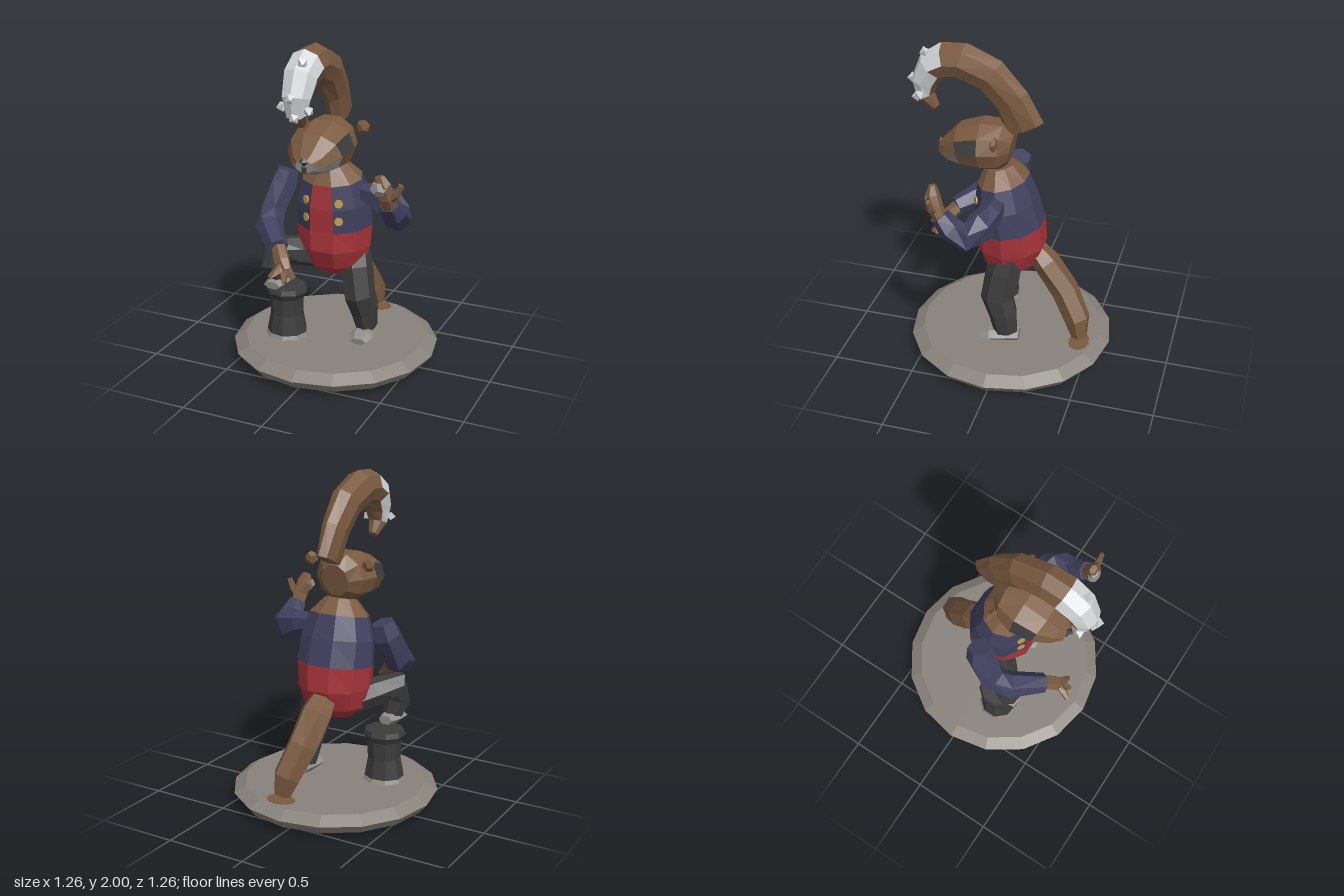
import * as THREE from 'three';

const mat = (name, color) => Object.assign(new THREE.MeshStandardMaterial({ color, flatShading: true }), { name });
const brown = mat('brown fur', 0x7a5a40);
const navy = mat('navy cloth', 0x40405f);
const red = mat('red cloth', 0xa8343a);
const charcoal = mat('charcoal', 0x3c3c3c);
const stone = mat('stone', 0x87827a);
const grey = mat('grey fur', 0x8e8c88);
const white = mat('white fur', 0xd3d6d8);
const gold = mat('gold', 0xc09a4c);

const X = new THREE.Vector3(1, 0, 0);
const Y = new THREE.Vector3(0, 1, 0);
const Z = new THREE.Vector3(0, 0, 1);

// Faceted skin over rings [x, y, z, radiusA, radiusB] along a path.
// pick(ring, side) chooses the material; the end cap counts as the last ring.
function loft(name, rings, { sides = 6, ref = Z, mats, pick = () => 0 }) {
  const centres = rings.map(r => new THREE.Vector3(r[0], r[1], r[2]));
  const last = rings.length - 1;
  const loops = rings.map((r, i) => {
    const t = centres[Math.min(i + 1, last)].clone().sub(centres[Math.max(i - 1, 0)]).normalize();
    const u = t.clone().cross(ref).normalize();
    const v = u.clone().cross(t);
    return Array.from({ length: sides }, (_, j) => {
      const a = j / sides * Math.PI * 2;
      return centres[i].clone().addScaledVector(u, r[3] * Math.cos(a)).addScaledVector(v, r[4] * Math.sin(a));
    });
  });
  const buckets = mats.map(() => []);
  for (let j = 0; j < sides; j++) {
    const k = (j + 1) % sides;
    buckets[pick(0, j)].push(centres[0], loops[0][j], loops[0][k]);
    for (let i = 0; i < last; i++) {
      const [a, b, c, d] = [loops[i][j], loops[i + 1][j], loops[i + 1][k], loops[i][k]];
      buckets[pick(i, j)].push(a, b, c, a, c, d);
    }
    buckets[pick(last, j)].push(centres[last], loops[last][k], loops[last][j]);
  }
  const geo = new THREE.BufferGeometry().setFromPoints(buckets.flat());
  let start = 0;
  buckets.forEach((b, i) => { geo.addGroup(start, b.length, i); start += b.length; });
  geo.computeVertexNormals();
  const mesh = new THREE.Mesh(geo, mats);
  mesh.name = name;
  return mesh;
}

function part(name, geo, material, pos, scale = [1, 1, 1], rot = [0, 0, 0]) {
  const m = new THREE.Mesh(geo, material);
  m.name = name;
  m.position.set(...pos);
  m.scale.set(...scale);
  m.rotation.set(...rot);
  return m;
}

export function createModel() {
  const g = new THREE.Group();
  g.name = 'figure';
  const tube = (name, m, rings, opts = {}) => g.add(loft(name, rings, { mats: [m], ...opts }));

  // Stone base
  tube('base', stone, [[0, 0, 0, .45, .45], [0, .035, 0, .59, .59], [0, .09, 0, .632, .632], [0, .135, 0, .56, .56]], { sides: 16 });
  g.add(part('tailMark', new THREE.CylinderGeometry(.09, .09, .006, 12), brown, [.1, .137, -.46], [1, 1, .7]));

  // Torso: red below, navy coat with a red front strip, brown neck
  g.add(loft('torso', [
    [0, .56, 0, .12, .09], [0, .62, 0, .19, .16], [0, .74, 0, .225, .215], [0, .88, .005, .24, .21],
    [0, 1.03, .03, .235, .19], [0, 1.17, .05, .19, .155], [0, 1.26, .07, .1, .09],
  ], { sides: 10, mats: [red, navy, brown], pick: (i, j) => i < 3 ? 0 : i > 4 ? 2 : j === 2 ? 0 : 1 }));
  for (const s of [-1, 1]) for (const [y, z] of [[1.05, .192], [.94, .192]]) {
    const b = part('button', new THREE.CylinderGeometry(.026, .026, .009, 8), gold, [s * .104, y, z]);
    b.quaternion.setFromUnitVectors(Y, new THREE.Vector3(s * .53, .06, .85).normalize());
    g.add(b);
  }

  // Head with dark eye patches and grey muzzle
  g.add(loft('head', [
    [0, 1.38, -.005, .09, .1], [0, 1.39, .05, .16, .15], [0, 1.39, .16, .192, .152],
    [0, 1.37, .29, .172, .125], [0, 1.335, .38, .11, .075], [0, 1.33, .43, .055, .04],
  ], {
    sides: 10, ref: Y, mats: [brown, charcoal, grey],
    pick: (i, j) => i === 2 && (j === 0 || j === 4) ? 1 : i > 4 || (i > 2 && j > 4) ? 2 : 0,
  }));
  g.add(part('nose', new THREE.OctahedronGeometry(.028), charcoal, [0, 1.36, .435]));
  g.add(part('mouth', new THREE.BoxGeometry(.03, .035, .008), charcoal, [0, 1.31, .43]));
  for (const s of [-1, 1]) {
    g.add(part('ear', new THREE.DodecahedronGeometry(.043), brown, [s * .195, 1.485, .05], [1, 1, .6], [0, 0, s * .3]));
  }

  // Curling plume over the head, white along its outer end
  g.add(loft('plume', [
    [0, 1.51, -.08, .12, .05], [0, 1.68, 0, .11, .07], [0, 1.82, .12, .11, .09], [0, 1.89, .29, .11, .1],
    [0, 1.885, .38, .107, .103], [0, 1.84, .465, .095, .1], [0, 1.74, .515, .08, .085],
    [0, 1.65, .515, .055, .06], [0, 1.58, .455, .025, .03],
  ], {
    sides: 8, ref: X, mats: [brown, white],
    pick: (i, j) => (i > 3 && i < 7 && (j < 2 || j > 5 || (i > 4 && (j === 2 || j === 5)))) ? 1 : 0,
  }));
  for (const [x, y, z] of [[.03, 1.93, .5], [0, 1.75, .59], [.08, 1.68, .53], [-.08, 1.69, .53], [.01, 1.64, .565]]) {
    g.add(part('tuft', new THREE.OctahedronGeometry(.033), white, [x, y, z], [1, 1, 1], [x * 9, .4, .5]));
  }

  // Tail resting behind
  tube('tail', brown, [
    [-.01, .7, -.15, .08, .06], [0, .62, -.22, .1, .08], [.02, .45, -.345, .095, .085],
    [.07, .28, -.44, .085, .08], [.09, .17, -.46, .055, .05],
  ]);

  // Standing leg
  tube('standingLeg', charcoal, [
    [.12, .71, -.02, .09, .09], [.14, .6, .01, .1, .11], [.175, .43, .04, .095, .105], [.19, .32, 0, .085, .09], [.2, .2, -.02, .065, .075],
  ], { sides: 7 });
  tube('standingFoot', grey, [[.19, .185, -.1, .05, .035], [.195, .18, -.02, .06, .04], [.205, .175, .08, .075, .038], [.21, .165, .14, .05, .022]], { ref: Y });

  // Raised leg on a stump
  tube('raisedLeg', charcoal, [
    [-.1, .64, .01, .08, .09], [-.2, .69, .12, .09, .1], [-.31, .72, .22, .09, .085], [-.3, .63, .24, .085, .075], [-.28, .53, .21, .06, .055],
  ], { sides: 7 });
  tube('raisedFoot', grey, [[-.28, .52, .12, .045, .03], [-.28, .52, .2, .07, .04], [-.285, .51, .3, .055, .025]], { ref: Y });
  g.add(loft('stump', [
    [-.265, .135, .14, .135, .125], [-.265, .16, .14, .125, .115], [-.265, .28, .14, .102, .1],
    [-.265, .39, .14, .108, .105], [-.265, .43, .14, .132, .125], [-.265, .46, .14, .122, .115],
  ], { sides: 9, mats: [charcoal, grey], pick: i => i === 0 ? 1 : 0 }));

  // Lowered right arm and hand
  tube('rightArm', navy, [
    [-.3, 1.16, .03, .07, .07], [-.32, 1.08, .05, .085, .09], [-.35, .92, .14, .08, .09],
    [-.32, .87, .25, .08, .085], [-.18, .81, .41, .06, .06],
  ]);
  tube('rightHand', brown, [[-.18, .81, .4, .045, .045], [-.13, .75, .46, .05, .045], [-.09, .71, .49, .035, .03]]);
  for (const [x, y, z] of [[-.035, .675, .5], [-.08, .66, .54], [-.16, .69, .57]]) {
    tube('rightFinger', brown, [[-.12, .75, .46, .025, .025], [(x - .11) / 2, (y + .73) / 2, (z + .48) / 2, .026, .024], [x, y, z, .013, .013]], { sides: 5 });
  }

  // Raised left arm and hand
  tube('leftArm', navy, [
    [.2, 1.09, .04, .06, .06], [.28, 1.08, .05, .075, .075], [.38, 1.05, .08, .11, .085],
    [.455, 1.01, .15, .09, .085], [.46, 1.06, .23, .08, .07], [.455, 1.13, .29, .06, .055],
  ]);
  tube('leftHand', brown, [[.455, 1.1, .28, .045, .04], [.45, 1.18, .32, .05, .045], [.43, 1.25, .34, .055, .04], [.415, 1.305, .345, .03, .02]]);
  g.add(part('leftPalm', new THREE.DodecahedronGeometry(.055), grey, [.42, 1.24, .355], [1, .9, .6], [-.3, 0, .2]));
  tube('leftThumb', brown, [[.47, 1.17, .32, .025, .025], [.51, 1.2, .33, .022, .022], [.54, 1.265, .33, .018, .014]], { sides: 5 });
  return g;
}
